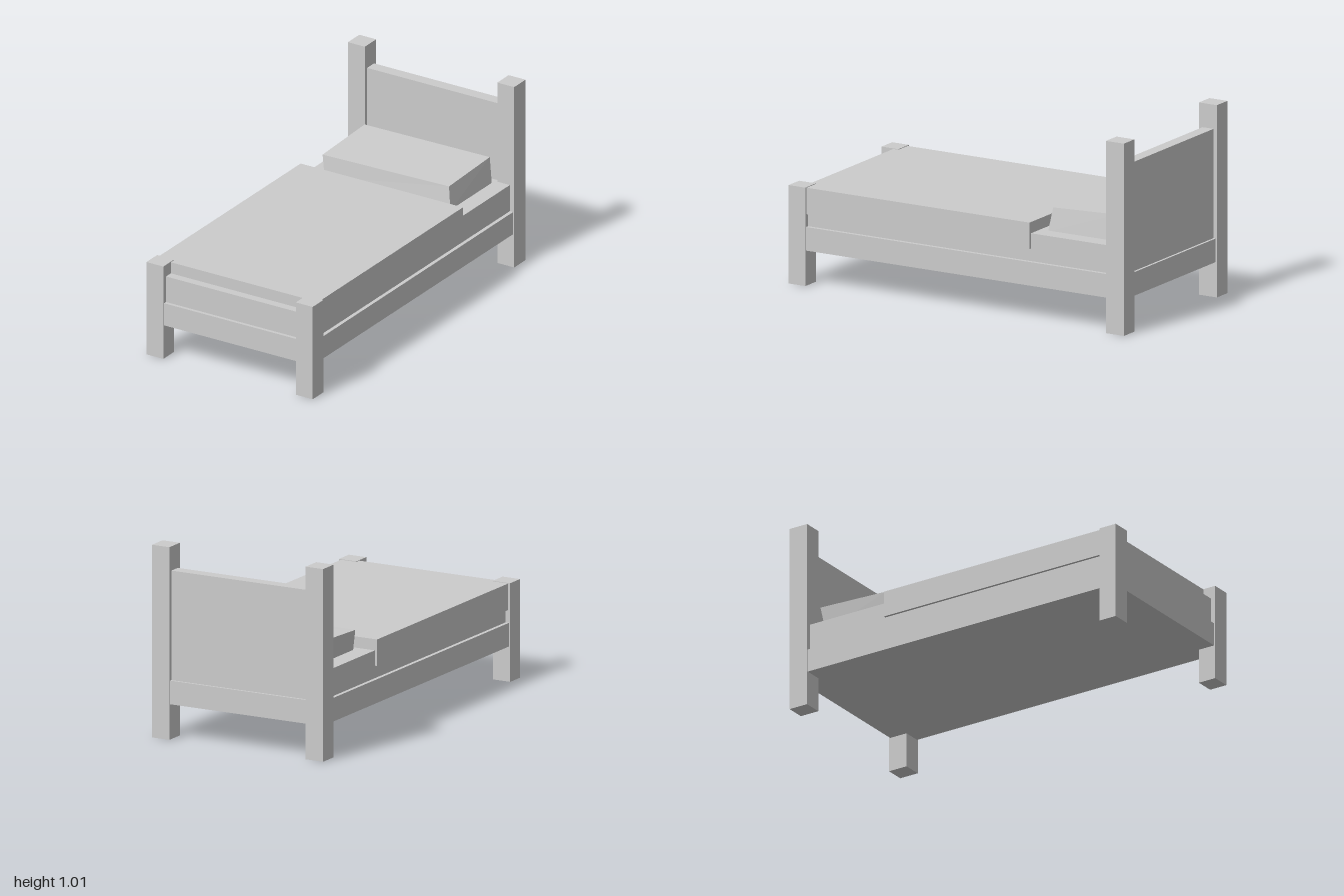
import * as THREE from 'three';

export function createModel() {
  const bed = new THREE.Group();
  bed.name = 'bed';
  const grey = new THREE.MeshStandardMaterial({ color: 0xcccccc });
  grey.name = 'plainGrey';

  // Adds a box given its extents along each axis
  function box(name, [x0, x1], [y0, y1], [z0, z1]) {
    const geometry = new THREE.BoxGeometry(x1 - x0, y1 - y0, z1 - z0);
    const mesh = new THREE.Mesh(geometry, grey);
    mesh.position.set((x0 + x1) / 2, (y0 + y1) / 2, (z0 + z1) / 2);
    mesh.name = name;
    bed.add(mesh);
    return mesh;
  }

  // Corner posts, short at the foot and tall at the head
  for (const side of [-1, 1]) {
    const x = side < 0 ? [-0.502, -0.4] : [0.4, 0.502];
    const label = side < 0 ? 'right' : 'left';
    box(label + 'FootPost', x, [0.005, 0.522], [0.9, 1]);
    box(label + 'HeadPost', x, [0.005, 1.015], [-1, -0.893]);
  }

  // Solid base with the end panels set into it
  box('bedBase', [-0.496, 0.496], [0.19, 0.314], [-0.993, 0.993]);
  box('footboard', [-0.41, 0.41], [0.31, 0.457], [0.93, 0.975]);
  box('headboard', [-0.41, 0.41], [0.31, 0.888], [-0.98, -0.915]);

  // Bedding
  box('mattress', [-0.476, 0.476], [0.31, 0.46], [-0.91, 0.92]);
  box('blanket', [-0.49, 0.49], [0.38, 0.519], [-0.43, 0.93]);

  // Pillow: a box whose top leans back and rises a little towards the headboard
  const pillow = box('pillow', [-0.375, 0.385], [0.455, 0.57], [-0.865, -0.476]);
  const p = pillow.geometry.attributes.position;
  for (let i = 0; i < p.count; i++) {
    if (p.getY(i) < 0) continue;
    const isLeft = p.getX(i) > 0, isBack = p.getZ(i) < 0;
    p.setX(i, p.getX(i) - 0.02);
    p.setY(i, p.getY(i) + (isLeft ? 0.01 : 0) + (isBack ? 0.015 : 0));
    p.setZ(i, p.getZ(i) - (isLeft === isBack ? 0.012 : 0.018));
  }
  pillow.geometry = pillow.geometry.toNonIndexed();
  pillow.geometry.computeVertexNormals();

  return bed;
}
